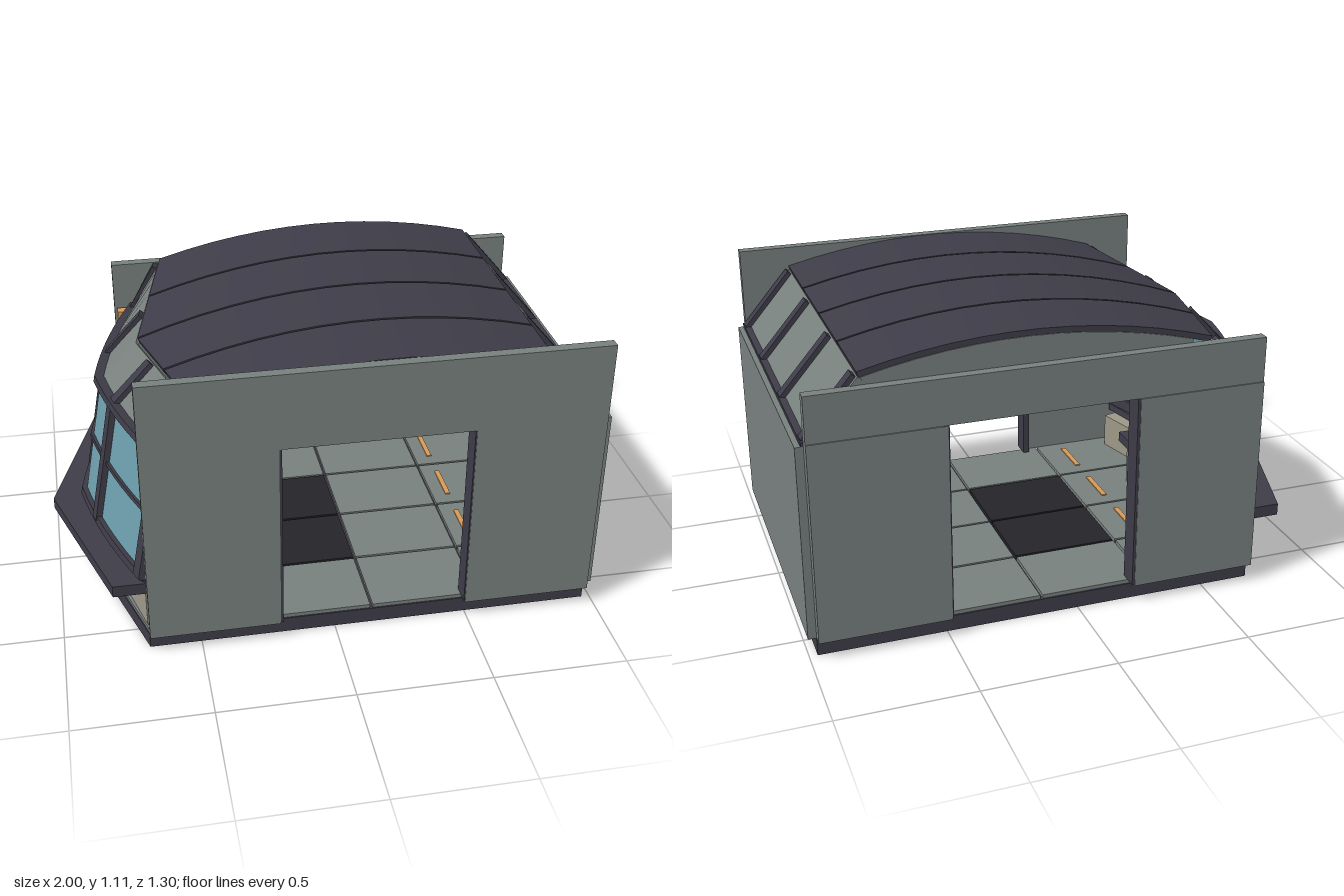
import * as THREE from 'three';

const paint = (name, color, extra = {}) => Object.assign(new THREE.MeshStandardMaterial({ color, ...extra }), { name });

export function createModel() {
  const root = new THREE.Group();
  root.name = 'observationRoom';
  const grey = paint('wall grey', 0x78807e);
  const dark = paint('dark trim', 0x3e3c48);
  const black = paint('black panel', 0x252429);
  const glass = paint('blue glass', 0x6d9dab);
  const beige = paint('cabinet beige', 0x9c9888);
  const orange = paint('amber light', 0xd89a58);

  const add = (name, geo, mat, parent = root) => {
    const m = new THREE.Mesh(geo, mat);
    m.name = name;
    parent.add(m);
    return m;
  };
  // box given by its two opposite corners
  const box = (name, mat, [x0, x1], [y0, y1], [z0, z1], parent) => {
    const m = add(name, new THREE.BoxGeometry(x1 - x0, y1 - y0, z1 - z0), mat, parent);
    m.position.set((x0 + x1) / 2, (y0 + y1) / 2, (z0 + z1) / 2);
    return m;
  };
  // horizontal slab from plan points [x, z]
  const slab = (name, mat, pts, y0, y1) => {
    const s = new THREE.Shape(pts.map(([x, z]) => new THREE.Vector2(x, -z)));
    const g = new THREE.ExtrudeGeometry(s, { depth: y1 - y0, bevelEnabled: false });
    return add(name, g.rotateX(-Math.PI / 2).translate(0, y0, 0), mat);
  };
  // bent plate following path(u, z) -> [x, y], offset along its normal from t0 to t1
  const shell = (name, mat, path, [u0, u1], [z0, z1], [t0, t1], nu = 1, nz = 1) => {
    const g = new THREE.BoxGeometry(1, 1, 1, nu, 1, nz);
    const p = g.attributes.position;
    for (let i = 0; i < p.count; i++) {
      const u = THREE.MathUtils.lerp(u0, u1, p.getX(i) + 0.5);
      const z = THREE.MathUtils.lerp(z0, z1, p.getZ(i) + 0.5);
      const t = THREE.MathUtils.lerp(t0, t1, p.getY(i) + 0.5);
      const [x, y] = path(u, z), a = path(u - 0.01, z), b = path(u + 0.01, z);
      const dx = b[0] - a[0], dy = b[1] - a[1], l = Math.hypot(dx, dy);
      p.setXYZ(i, x - dy / l * t, y + dx / l * t, z);
    }
    g.computeVertexNormals();
    return add(name, g, mat);
  };

  // base and floor panels with open seams
  slab('base', dark, [[0.97, 0.61], [0.97, -0.61], [-0.69, -0.61], [-0.88, 0], [-0.69, 0.61]], 0, 0.06);
  const seams = [-0.68, -0.27, 0.14, 0.55, 0.96];
  for (let r = 0; r < 4; r++) {
    const z0 = -0.61 + r * 0.305 + 0.005, z1 = z0 + 0.295, zc = (z0 + z1) / 2;
    for (let c = 0; c < 4; c++) {
      const hatch = c === 1 && (r === 1 || r === 2);
      box('floorPanel', hatch ? black : grey, [seams[c] + 0.005, seams[c + 1] - 0.005], [0.06, 0.075], [z0, z1]);
    }
    for (const x of [-0.38, 0.62]) {
      box('floorLight', orange, [x - 0.01, x + 0.01], [0.075, 0.08], [zc - 0.09, zc + 0.09]);
    }
  }
  for (const s of [1, -1]) {
    const edge = [[-0.69, s * 0.6], [-0.69, s * 0.005], [-0.87, s * 0.005]];
    slab('floorNose', grey, s > 0 ? edge : edge.reverse(), 0.06, 0.075);
  }

  // long walls with doorways
  for (const s of [1, -1]) {
    const front = s > 0, wall = new THREE.Group();
    wall.name = front ? 'frontWall' : 'backWall';
    root.add(wall);
    const span = (a, b) => (front ? [a, b] : [-b, -a]);
    const z = span(0.61, 0.65), zTop = span(front ? 0.61 : 0.605, front ? 0.65 : 0.645);
    box('wallPanel', grey, [-0.69, -0.21], [0.07, 0.82], z, wall);
    box('wallPanel', grey, [0.49, 0.97], [0.07, 0.82], z, wall);
    box('wallHeader', grey, [-0.69, 0.97], [0.82, front ? 1.11 : 0.99], zTop, wall);
    box('doorJamb', dark, [-0.225, -0.2], [0.075, 0.82], span(0.57, 0.648), wall);
    box('doorJamb', dark, [0.485, 0.51], [0.075, 0.82], span(0.57, 0.648), wall);
    box('doorHead', dark, [-0.225, 0.51], [0.82, 0.84], span(0.57, 0.61), wall);
    box('doorLight', orange, [-0.2, 0.48], [0.815, 0.82], span(0.585, 0.6), wall);
  }

  // side wall
  box('sideWall', grey, [0.96, 1], [0.07, 0.8], [-0.61, 0.61]);
  box('sideWallCap', dark, [0.94, 0.98], [0.8, 0.815], [-0.61, 0.61]);
  const eave = (u) => [0.78 + 0.18 * u, 1.02 - 0.21 * u];
  shell('eavePanel', grey, eave, [0, 1], [-0.61, 0.61], [-0.02, 0]);
  for (const z of [0.575, 0.2, -0.19, -0.575]) {
    shell('eaveRib', dark, eave, [0.02, 1.02], [z - 0.022, z + 0.022], [-0.03, 0.018]);
  }

  // arched roof strips, ceiling ribs and ceiling lights
  const roofY = (x) => 1.1 - 0.22 * (x - 0.2) ** 2;
  const roofEdge = (z) => -0.63 + 0.23 * Math.abs(z);
  const roof = (u, z) => {
    const x = THREE.MathUtils.lerp(roofEdge(z), 0.78, u);
    return [x, roofY(x)];
  };
  for (let r = 0; r < 4; r++) {
    const z0 = -0.61 + r * 0.305 + 0.005, z1 = z0 + 0.295, zc = (z0 + z1) / 2;
    shell('roofPanel', dark, roof, [0, 1], [z0, z1], [-0.012, 0.01], 12, 2);
    shell('ceilingLight', orange, roof, [0.03, 0.13], [zc - 0.09, zc + 0.09], [-0.02, -0.012], 2);
  }
  for (const z of [-0.305, 0, 0.305]) {
    shell('ceilingRib', grey, roof, [0.01, 0.99], [z - 0.015, z + 0.015], [-0.04, -0.012], 12);
  }
  // gables between the long walls and the roof
  const gable = new THREE.Shape();
  gable.moveTo(-0.42, 0.95);
  gable.lineTo(0.78, 0.95);
  for (let i = 0; i <= 12; i++) {
    const x = 0.78 - i * 0.1;
    gable.lineTo(x, roofY(x) - 0.012);
  }
  for (const z of [0.59, -0.608]) {
    add('gable', new THREE.ExtrudeGeometry(gable, { depth: 0.018, bevelEnabled: false }).translate(0, 0, z), grey);
  }

  // slanted bow window and the panel above it
  const bow = (z) => 0.16 * Math.abs(z) + 0.22 * z * z;
  const pane = (u, z) => [-0.87 + 0.09 * u + bow(z), 0.31 + 0.49 * u];
  const brow = (u, z) => {
    const x1 = roofEdge(z) - 0.01, x0 = -0.78 + bow(z), y1 = roofY(x1) - 0.005;
    return [x0 + (x1 - x0) * u, 0.8 + (y1 - 0.8) * u];
  };
  const full = [-0.605, 0.605];
  shell('windowGlass', glass, pane, [0, 1], full, [-0.008, 0], 1, 16);
  shell('browPanel', grey, brow, [0, 1], full, [-0.015, 0], 1, 16);
  for (const [u0, u1, t] of [[-0.02, 0.04, 0.02], [0.5, 0.53, 0.012], [0.975, 1.03, 0.025]]) {
    shell('windowRail', dark, pane, [u0, u1], full, [-0.025, t], 1, 16);
  }
  for (const z of [-0.585, -0.2, 0.2, 0.585]) {
    shell('windowMullion', dark, pane, [0, 1], [z - 0.02, z + 0.02], [-0.03, 0.022]);
    shell('browRib', dark, brow, [0, 0.98], [z - 0.02, z + 0.02], [-0.03, 0.018]);
  }

  // chevron ledge and the sill below it
  slab('ledge', dark, [[-0.62, 0.61], [-0.62, -0.61], [-0.81, -0.61], [-1, 0], [-0.81, 0.61]].toSpliced(0, 2,
    [-0.62, 0.61], [-0.8, 0], [-0.62, -0.61]), 0.245, 0.29);
  slab('sill', dark, [[-0.62, 0.6], [-0.76, 0], [-0.62, -0.6], [-0.68, -0.6], [-0.83, 0], [-0.68, 0.6]], 0.215, 0.245);
  slab('windowCurb', dark, [[-0.64, 0.6], [-0.8, 0], [-0.64, -0.6], [-0.7, -0.6], [-0.87, 0], [-0.7, 0.6]], 0.29, 0.315);

  // cabinets beneath the ledge
  for (const s of [1, -1]) {
    for (const z of [0.17, 0.45]) {
      const m = box('lowCabinet', beige, [-0.06, 0.06], [0.075, 0.215], [-0.11, 0.11]);
      m.position.x = -0.78 + 0.26 * z;
      m.position.z = s * z;
      m.rotation.y = s * 0.26;
    }
  }

  // control desk at the window
  box('deskBody', grey, [-0.72, -0.52], [0.075, 0.26], [-0.16, 0.16]);
  box('deskTop', dark, [-0.74, -0.49], [0.26, 0.3], [-0.18, 0.18]);
  box('deskScreen', black, [-0.52, -0.515], [0.17, 0.23], [-0.1, 0.1]);

  // storage boxes inside
  box('storageBox', beige, [-0.68, -0.36], [0.075, 0.29], [-0.58, -0.42]);
  box('storageLabel', black, [-0.57, -0.45], [0.18, 0.22], [-0.42, -0.414]);
  for (const z of [0.35, -0.05]) {
    box('storageBox', beige, [0.78, 0.95], [0.075, 0.3], [z - 0.16, z + 0.16]);
    box('storageLabel', black, [0.774, 0.78], [0.18, 0.22], [z - 0.06, z + 0.06]);
  }

  // corner lamp by the window
  box('cornerLamp', orange, [-0.68, -0.64], [0.73, 0.8], [-0.6, -0.56]);
  return root;
}
